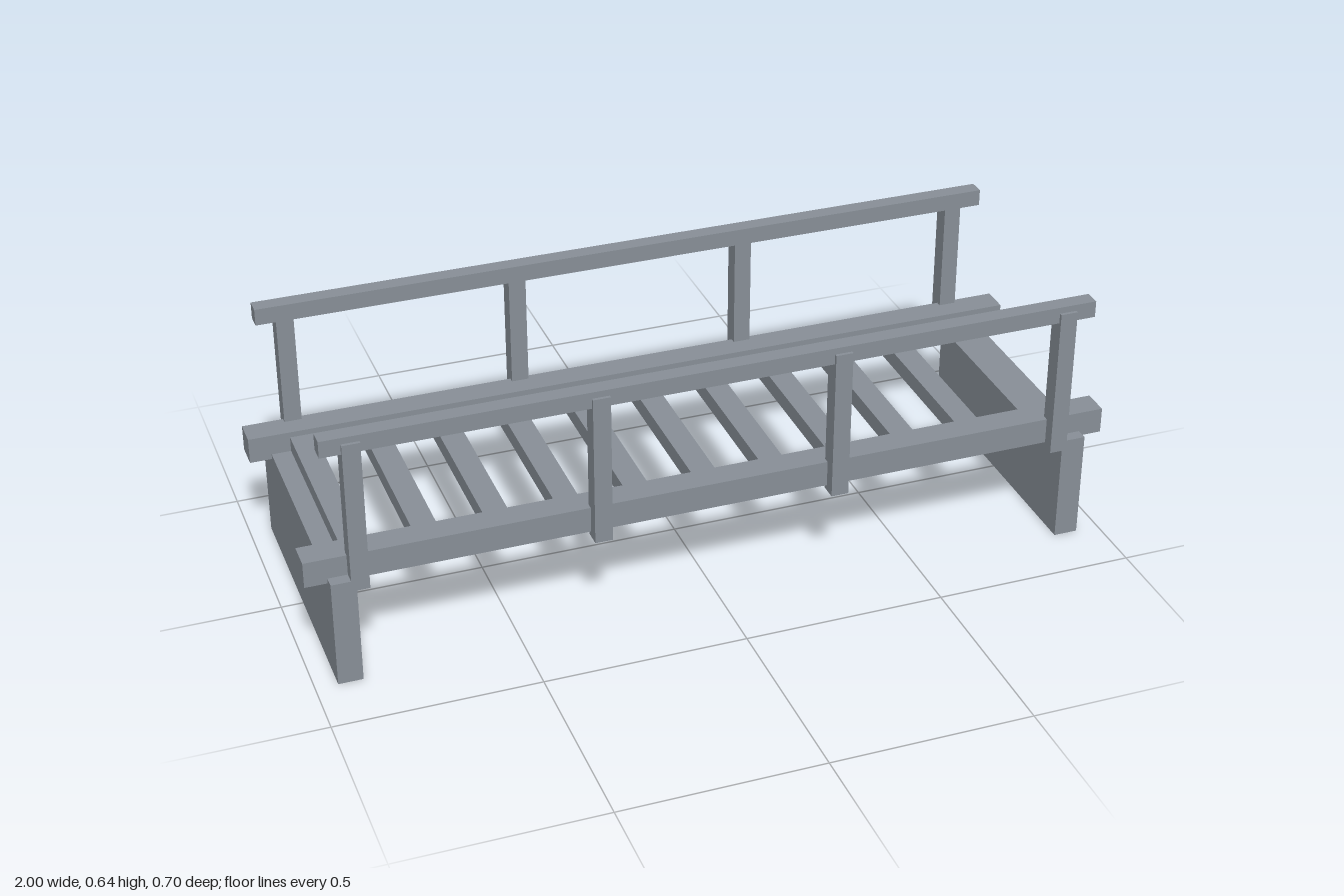
import * as THREE from 'three';

export function createModel() {
  const bridge = new THREE.Group();
  bridge.name = 'footbridge';
  const steel = new THREE.MeshStandardMaterial({ color: 0x888f97 });
  steel.name = 'blue grey';

  // Box given by its limits on each axis
  function box(name, [x0, x1], [y0, y1], [z0, z1]) {
    const mesh = new THREE.Mesh(new THREE.BoxGeometry(x1 - x0, y1 - y0, z1 - z0), steel);
    mesh.position.set((x0 + x1) / 2, (y0 + y1) / 2, (z0 + z1) / 2);
    mesh.name = name;
    bridge.add(mesh);
  }
  const span = (centre, width) => [centre - width / 2, centre + width / 2];

  // End supports
  box('rightSupport', [-0.946, -0.886], [0, 0.273], [-0.348, 0.348]);
  box('leftSupport', [0.881, 0.941], [0, 0.273], [-0.348, 0.348]);

  // Beams, handrails and railing posts on both sides
  for (const [side, s] of [['front', 1], ['back', -1]]) {
    const across = (inner, outer) => (s > 0 ? [inner, outer] : [-outer, -inner]);
    box(side + 'Beam', [-1, 1], [0.26, 0.325], across(0.25, 0.318));
    box(side + 'Handrail', [-0.948, 0.944], [0.603, 0.645], across(0.3, 0.34));
    for (const x of [-0.877, -0.299, 0.293, 0.871]) {
      box(side + 'Post', span(x, 0.043), [0.246, 0.629], across(0.303, 0.348));
    }
  }

  // Deck slats
  for (let i = 0; i < 11; i++) {
    box('deckSlat', span(-0.868 + i * 0.1713, 0.06), [0.268, 0.311], [-0.3, 0.3]);
  }
  return bridge;
}
